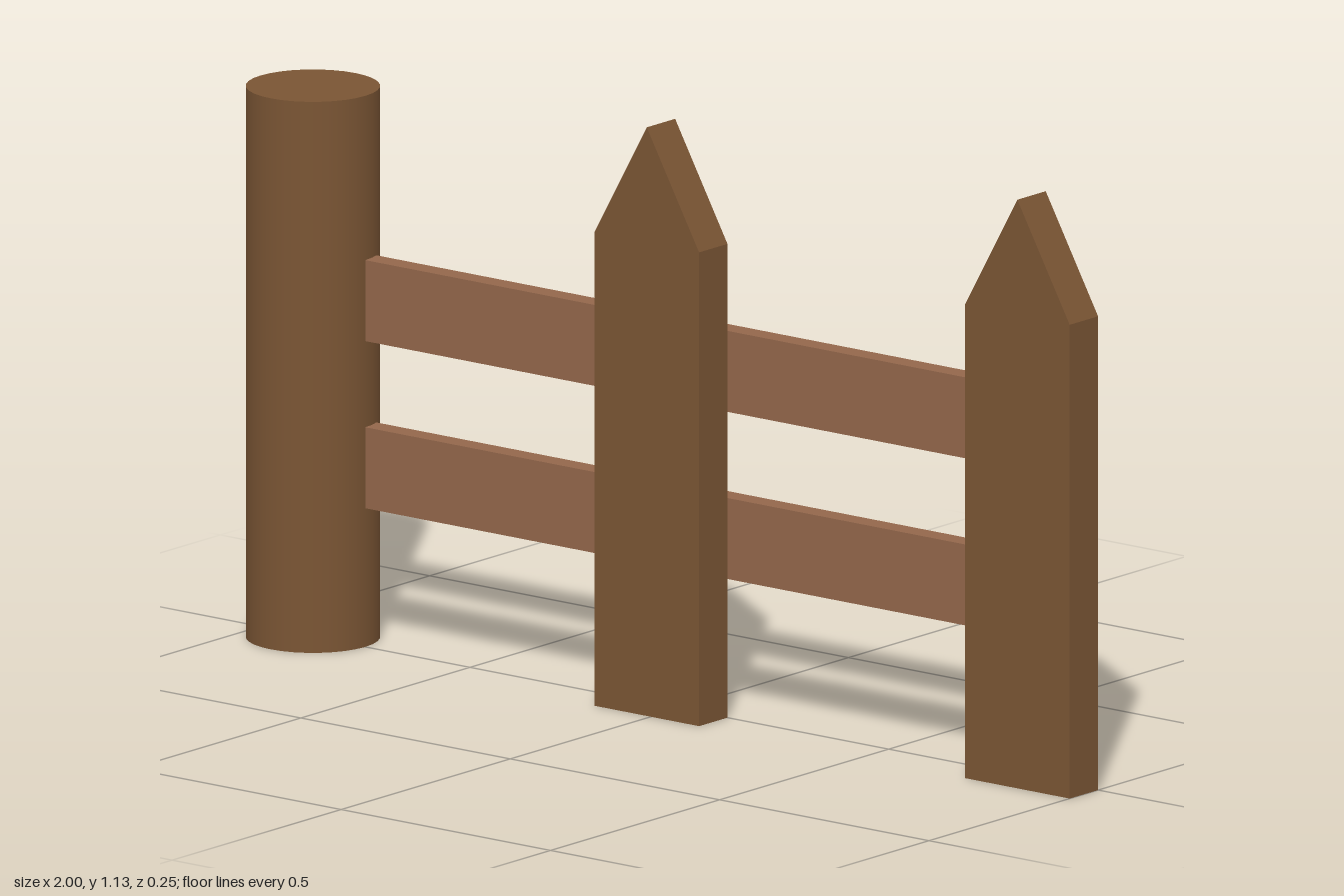
import * as THREE from 'three';

export function createModel() {
  const fence = new THREE.Group();
  fence.name = 'fence';
  const wood = new THREE.MeshStandardMaterial({ color: 0x7a5534 });
  const railWood = new THREE.MeshStandardMaterial({ color: 0x93674b });

  const add = (name, geometry, material, x, y, z) => {
    const mesh = new THREE.Mesh(geometry, material);
    mesh.name = name;
    mesh.position.set(x, y, z);
    fence.add(mesh);
  };

  // Round end post
  const postHeight = 1.055;
  add('post', new THREE.CylinderGeometry(0.125, 0.125, postHeight, 32), wood, -0.875, postHeight / 2, 0);

  // Pointed pickets, standing in front of the rails
  const half = 0.125;
  const outline = new THREE.Shape([
    new THREE.Vector2(-half, 0),
    new THREE.Vector2(half, 0),
    new THREE.Vector2(half, 0.907),
    new THREE.Vector2(0, 1.127),
    new THREE.Vector2(-half, 0.907),
  ]);
  const picketGeometry = new THREE.ExtrudeGeometry(outline, { depth: 0.084, bevelEnabled: false });
  add('middlePicket', picketGeometry, wood, -0.01, 0, 0);
  add('endPicket', picketGeometry, wood, 0.875, 0, 0);

  // Two rows of rails, with a gap behind the middle picket
  const railGeometry = new THREE.BoxGeometry(0.763, 0.155, 0.042);
  for (const [row, y] of [['lower', 0.343], ['upper', 0.663]]) {
    add(row + 'RightRail', railGeometry, railWood, -0.447, y, -0.021);
    add(row + 'LeftRail', railGeometry, railWood, 0.433, y, -0.021);
  }
  return fence;
}
